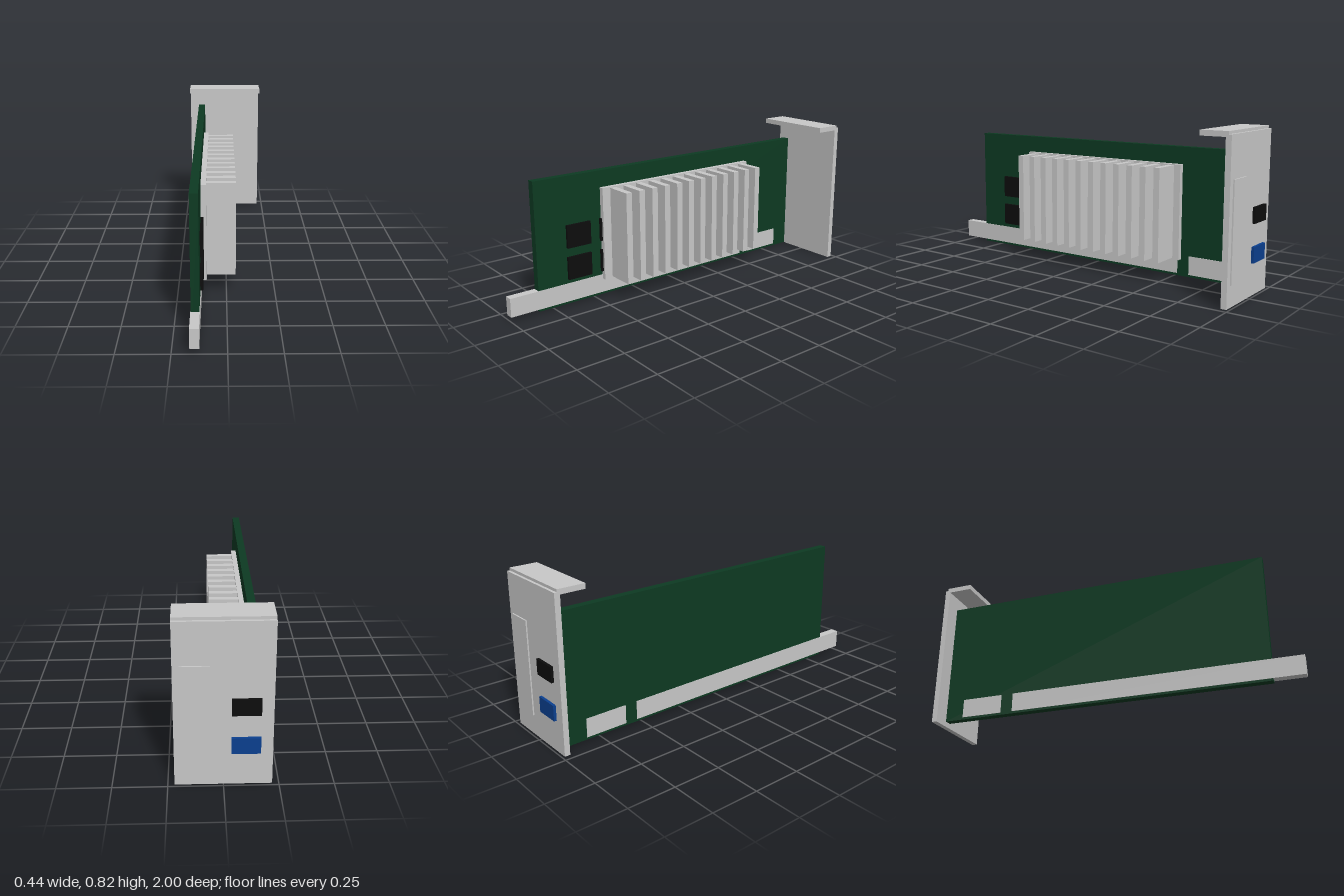
import * as THREE from 'three';

const material = (name, color) => {
  const m = new THREE.MeshStandardMaterial({ color });
  m.name = name;
  return m;
};

export function createModel() {
  const metal = material('light grey metal', 0xc8c8c8);
  const green = material('board green', 0x0d3a22);
  const black = material('chip black', 0x0d0d0d);
  const blue = material('port blue', 0x0b3f8f);

  const model = new THREE.Group();
  model.name = 'expansionCard';

  // Box given by its limits along each axis
  const box = (name, mat, [x0, x1], [y0, y1], [z0, z1], parent = model) => {
    const mesh = new THREE.Mesh(new THREE.BoxGeometry(x1 - x0, y1 - y0, z1 - z0), mat);
    mesh.position.set((x0 + x1) / 2, (y0 + y1) / 2, (z0 + z1) / 2);
    mesh.name = name;
    parent.add(mesh);
  };
  const group = (name) => {
    const g = new THREE.Group();
    g.name = name;
    model.add(g);
    return g;
  };

  // Circuit board and the two edge connectors around its lower edge
  box('circuitBoard', green, [-0.167, -0.127], [0.013, 0.695], [-0.932, 0.842]);
  box('longEdgeConnector', metal, [-0.169, -0.125], [0.025, 0.125], [-0.535, 1]);
  box('shortEdgeConnector', metal, [-0.169, -0.125], [0.025, 0.125], [-0.83, -0.602]);

  // Heat sink: base plate with twelve upright fins
  const heatSink = group('heatSink');
  box('heatSinkBase', metal, [-0.127, -0.1], [0.102, 0.605], [-0.555, 0.46], heatSink);
  for (let i = 0; i < 12; i++) {
    const z = 0.396 - i * 0.0816;
    box('heatSinkFin', metal, [-0.1, 0.047], [0.11, 0.6], [z - 0.017, z + 0.017], heatSink);
  }

  // Memory chips, the second column partly under the heat sink
  const chips = group('memoryChips');
  for (const z of [0.6, 0.4]) {
    for (const y of [0.208, 0.379]) {
      box('memoryChip', black, [-0.127, -0.113], [y - 0.061, y + 0.061], [z - 0.07, z + 0.07], chips);
    }
  }

  // Mounting bracket with folded top flange, cover panel and ports
  const bracket = group('bracket');
  box('bracketPlate', metal, [-0.22, 0.22], [0, 0.804], [-0.986, -0.957], bracket);
  box('bracketFlange', metal, [-0.22, 0.22], [0.791, 0.818], [-0.972, -0.827], bracket);
  box('coverPanel', metal, [0.058, 0.19], [0.108, 0.6], [-0.993, -0.986], bracket);
  box('blackPort', black, [-0.165, -0.035], [0.361, 0.441], [-1, -0.986], bracket);
  box('bluePort', blue, [-0.165, -0.035], [0.167, 0.247], [-1, -0.986], bracket);

  return model;
}
